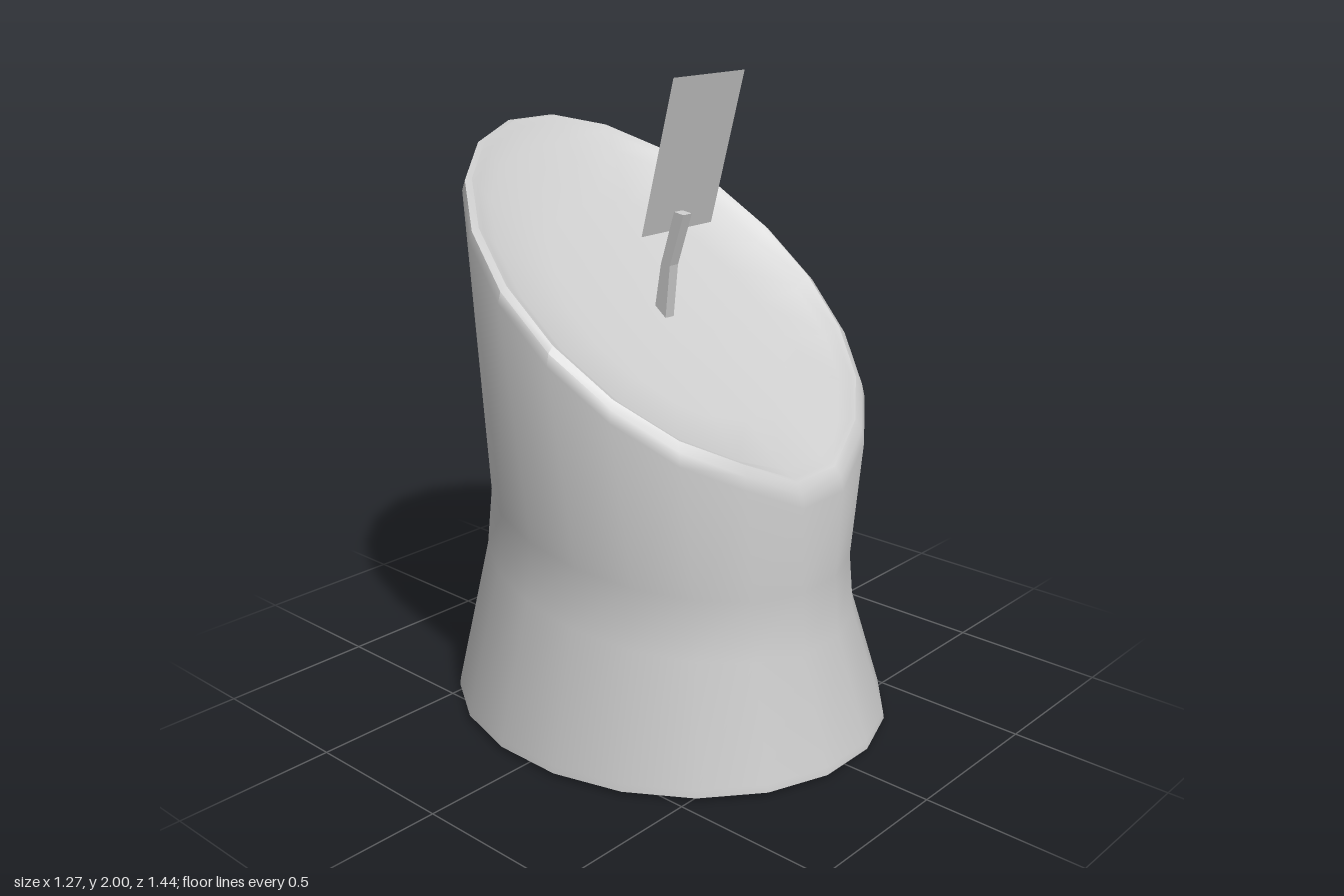
import * as THREE from 'three';
import { toCreasedNormals } from 'three/addons/utils/BufferGeometryUtils.js';

const SIDES = 20;

// Loft of tilted elliptical rings: [x radius, z radius, mid height, slope, front dip]
function loft(rings) {
  const pos = [], idx = [];
  for (const [rx, rz, y, slope, dip] of rings) {
    for (let j = 0; j < SIDES; j++) {
      const a = ((j + 0.5) / SIDES) * Math.PI * 2;
      const z = rz * Math.cos(a);
      const front = j === 0 || j === SIDES - 1;
      pos.push(rx * Math.sin(a), y - slope * z - (front ? dip : 0), z);
    }
  }
  for (let i = 0; i < rings.length - 1; i++) {
    for (let j = 0; j < SIDES; j++) {
      const k = (j + 1) % SIDES;
      const a = i * SIDES + j, b = i * SIDES + k, c = b + SIDES, d = a + SIDES;
      if (rings[i][0] > 0) idx.push(a, b, c);
      if (rings[i + 1][0] > 0) idx.push(a, c, d);
    }
    // Close the fan at a zero-radius end ring
    if (rings[i + 1][0] === 0) continue;
  }
  const g = new THREE.BufferGeometry();
  g.setAttribute('position', new THREE.Float32BufferAttribute(pos, 3));
  g.setIndex(idx);
  return toCreasedNormals(g, 0.75);
}

export function createModel() {
  const group = new THREE.Group();
  const grey = new THREE.MeshStandardMaterial({ color: 0xcccccc });
  const thin = new THREE.MeshStandardMaterial({ color: 0xcccccc, side: THREE.DoubleSide });
  const add = (name, geometry, material = grey) => {
    const mesh = new THREE.Mesh(geometry, material);
    mesh.name = name;
    group.add(mesh);
    return mesh;
  };

  // Waisted body with a flared foot, slanted rim and shallow dish
  const S = 0.764;
  add('body', loft([
    [0, 0, 0, 0, 0],
    [0.625, 0.708, 0, 0, 0],
    [0.643, 0.729, 0.012, 0, 0],
    [0.64, 0.725, 0.035, 0, 0],
    [0.536, 0.617, 0.45, 0.148, 0],
    [0.516, 0.602, 0.635, 0.143, 0],
    [0.612, 0.609, 1.325, S, 0.045],
    [0.603, 0.6, 1.36, S, 0.045],
    [0.582, 0.58, 1.375, S, 0.045],
    [0.566, 0.564, 1.365, S, 0.04],
    [0.53, 0.53, 1.335, S, 0.02],
    [0.36, 0.36, 1.295, S, 0],
    [0, 0, 1.28, S, 0],
  ]));

  // Bent stem: side outline extruded across x
  const outline = [[0.018, 1.26], [0.036, 1.43], [0.09, 1.59], [0.053, 1.595], [0, 1.43], [-0.03, 1.26]];
  const stem = new THREE.ExtrudeGeometry(
    new THREE.Shape(outline.map(([z, y]) => new THREE.Vector2(-z, y))),
    { depth: 0.037, bevelEnabled: false });
  stem.rotateY(Math.PI / 2);
  add('stem', stem).position.x = -0.036;

  // Thin panel leaning forward
  const bottom = new THREE.Vector2(0.033, 1.535), top = new THREE.Vector2(0.157, 2);
  const panel = add('panel', new THREE.PlaneGeometry(0.31, bottom.distanceTo(top)), thin);
  panel.position.set(0, (bottom.y + top.y) / 2, (bottom.x + top.x) / 2);
  panel.rotation.x = Math.atan2(top.x - bottom.x, top.y - bottom.y);

  return group;
}
